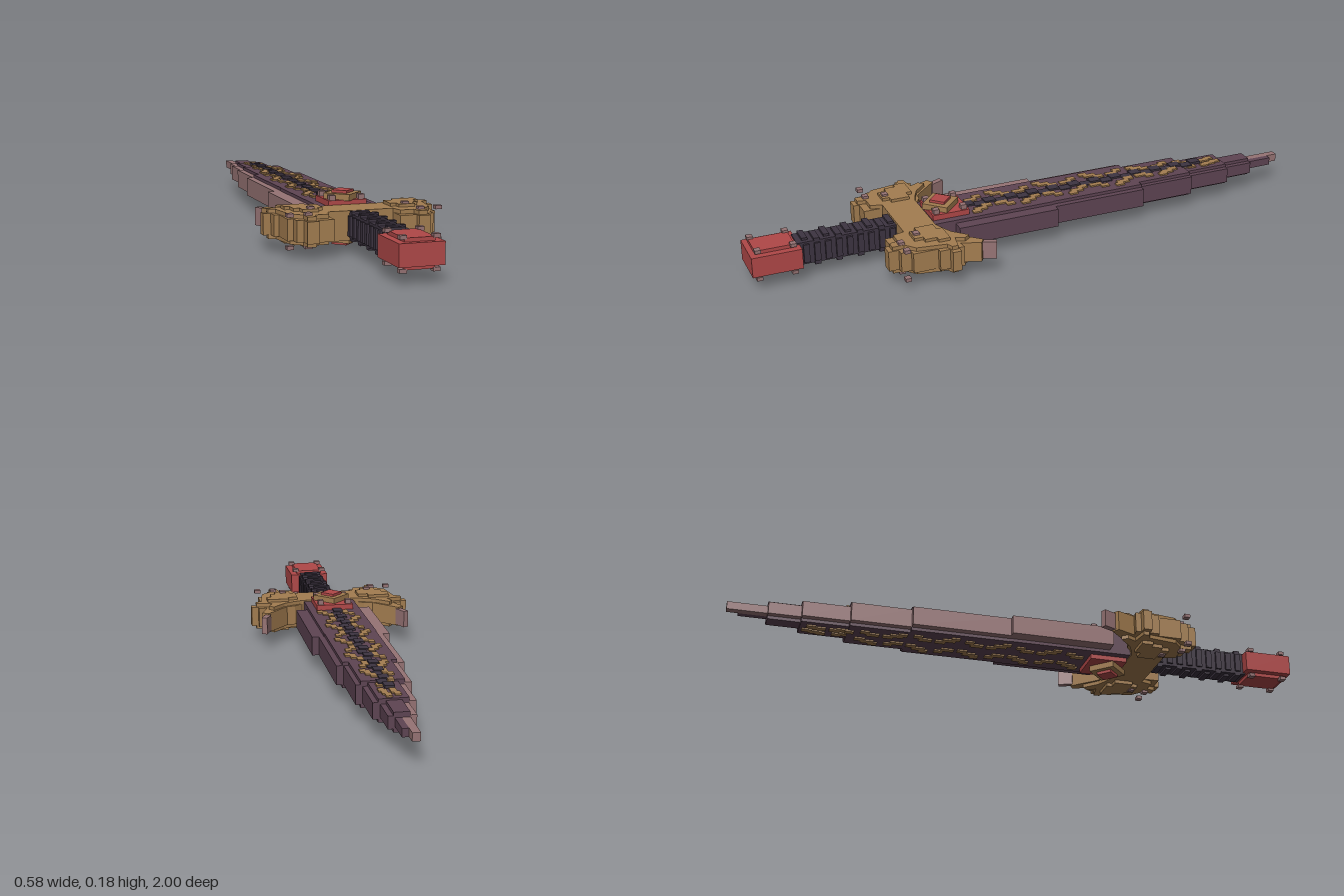
import * as THREE from 'three';

const mat = (name, color) => {
  const m = new THREE.MeshStandardMaterial({ color });
  m.name = name;
  return m;
};

export function createModel() {
  const gold = mat('gold', 0xa37d50), red = mat('red', 0xb04848), purple = mat('purple', 0x5e4453);
  const dark = mat('dark leather', 0x3d3441), mauve = mat('mauve', 0x967374);
  const root = new THREE.Group();
  root.name = 'sword';
  const part = (name) => {
    const g = new THREE.Group();
    g.name = name;
    root.add(g);
    return g;
  };
  // box from min/max limits on each axis
  const box = (parent, name, m, x0, x1, y0, y1, z0, z1) => {
    const mesh = new THREE.Mesh(new THREE.BoxGeometry(x1 - x0, y1 - y0, z1 - z0), m);
    mesh.position.set((x0 + x1) / 2, (y0 + y1) / 2, (z0 + z1) / 2);
    mesh.name = name;
    parent.add(mesh);
    return mesh;
  };
  // slab with an outline of [x, z] points
  const slab = (parent, name, m, pts, y0, y1) => {
    const shape = new THREE.Shape(pts.map(([x, z]) => new THREE.Vector2(x, -z)));
    const geo = new THREE.ExtrudeGeometry(shape, { depth: y1 - y0, bevelEnabled: false });
    geo.rotateX(-Math.PI / 2).translate(0, y0, 0);
    const mesh = new THREE.Mesh(geo, m);
    mesh.name = name;
    parent.add(mesh);
  };
  const studs = (parent, x, z, top, bottom) => {
    for (const s of [-1, 1]) {
      box(parent, 'stud', mauve, s * x - 0.011, s * x + 0.011, top - 0.012, top, z - 0.01, z + 0.01);
      box(parent, 'stud', mauve, s * x - 0.011, s * x + 0.011, bottom, bottom + 0.012, z - 0.01, z + 0.01);
    }
  };

  // Blade: stepped core with a pale edge on one side and a dark edge on the other
  const blade = part('blade');
  const steps = [ // zFront, zBack, core half width, left limit, right limit
    [0.31, -0.05, 0.092, -0.138, 0.133],
    [-0.05, -0.39, 0.09, -0.115, 0.11],
    [-0.39, -0.595, 0.07, -0.092, 0.086],
    [-0.595, -0.755, 0.048, -0.07, 0.065],
    [-0.755, -0.865, 0.025, -0.046, 0.042],
  ];
  steps.forEach(([z1, z0, w, l, r], i) => {
    const inset = i < 3 ? 0 : 0.006 * (i - 2);
    box(blade, 'bladeCore', purple, -w, w, 0.046 + inset, 0.133 - inset, z0, i ? z1 : 0.4);
    box(blade, 'paleEdge', mauve, l, -w + 0.002, 0.057 + inset, 0.122 - inset, z0, z1);
    box(blade, 'darkEdge', purple, w - 0.002, r, 0.057 + inset, 0.122 - inset, z0, z1);
  });
  box(blade, 'paleTip', mauve, -0.026, 0, 0.077, 0.104, -1, -0.865);
  box(blade, 'darkTip', purple, 0, 0.021, 0.077, 0.104, -0.96, -0.865);

  // Dark jagged ridge down the middle of the upper face
  const ridge = part('ridge');
  for (let i = 0; i < 23; i++) {
    const z = 0.25 - i * 0.04, s = i % 2 ? 0.006 : -0.006;
    box(ridge, 'ridgeBlock', dark, s - 0.016, s + 0.016, 0.13, i % 2 ? 0.136 : 0.139, z - 0.04, z);
  }

  // Stepped gold inlay on both faces
  const inlay = part('goldInlay');
  for (let i = 0; i < 11; i++) {
    const z = 0.2 - i * 0.09, s = i % 2 ? -1 : 1, k = i < 7 ? 1 : i < 9 ? 0.75 : 0.4;
    const bits = [[0.045, 0, 0.045], [0.028, -0.028, 0.035], [0.06, 0.02, 0.03], [-0.03, 0.01, 0.045], [-0.048, -0.018, 0.03]];
    for (const [bx, bz, d] of bits) {
      const x = s * bx * k, zc = z + bz;
      const inset = zc < -0.755 ? 0.012 : zc < -0.595 ? 0.006 : 0;
      box(inlay, 'inlayTop', gold, x - 0.01, x + 0.01, 0.13 - inset, 0.138 - inset, zc - d / 2, zc + d / 2);
      box(inlay, 'inlayBottom', gold, x - 0.01, x + 0.01, 0.041 + inset, 0.049 + inset, zc - d / 2, zc + d / 2);
    }
  }

  // Guard: three stacked outlines per wing
  const guard = part('guard');
  const outline = [[0, 0.385], [0.1, 0.385], [0.13, 0.36], [0.16, 0.355], [0.24, 0.27], [0.262, 0.285], [0.235, 0.35],
    [0.265, 0.345], [0.265, 0.365], [0.29, 0.365], [0.29, 0.395], [0.265, 0.395], [0.265, 0.43], [0.248, 0.43],
    [0.248, 0.515], [0.228, 0.515], [0.228, 0.55], [0.205, 0.55], [0.205, 0.585], [0.165, 0.585], [0.165, 0.565],
    [0.11, 0.565], [0.11, 0.5], [0, 0.5]];
  const middle = [[0, 0.385], [0.1, 0.385], [0.14, 0.37], [0.17, 0.355], [0.215, 0.31], [0.23, 0.33], [0.215, 0.36],
    [0.272, 0.37], [0.272, 0.39], [0.25, 0.4], [0.235, 0.5], [0.2, 0.53], [0.2, 0.57], [0.17, 0.57], [0.165, 0.54],
    [0.12, 0.54], [0.11, 0.5], [0, 0.5]];
  const inner = [[0.115, 0.4], [0.15, 0.4], [0.15, 0.38], [0.228, 0.38], [0.228, 0.42], [0.21, 0.42], [0.21, 0.46],
    [0.19, 0.46], [0.19, 0.49], [0.135, 0.49], [0.135, 0.465], [0.115, 0.465]];
  for (const s of [-1, 1]) {
    const side = (pts) => pts.map(([x, z]) => [s * x, z]);
    slab(guard, 'guardWing', gold, side(outline), 0.055, 0.125);
    slab(guard, 'guardPlate', gold, side(middle), 0.042, 0.138);
    slab(guard, 'guardRaised', gold, side(inner), 0.03, 0.148);
    const tip = box(guard, 'hornTip', mauve, -0.01, 0.01, 0.06, 0.12, -0.026, 0.026);
    tip.position.set(s * 0.25, 0.09, 0.255);
    tip.rotation.y = s * -0.42;
  }
  studs(guard, 0.248, 0.537, 0.147, 0.033);
  studs(guard, 0.188, 0.537, 0.147, 0.033);
  studs(guard, 0.16, 0.475, 0.155, 0.025);

  // Jewel mount on both faces
  const mount = part('jewelMount');
  box(mount, 'mountPlate', red, -0.066, 0.066, 0.03, 0.152, 0.25, 0.38);
  const diamond = (name, m, r, y0, y1) => slab(mount, name, m, [[-r, 0.33], [0, 0.33 + r], [r, 0.33], [0, 0.33 - r]], y0, y1);
  diamond('jewelFrame', gold, 0.065, 0.01, 0.03);
  diamond('jewelFrame', gold, 0.065, 0.15, 0.171);
  diamond('jewel', red, 0.038, 0, 0.012);
  diamond('jewel', red, 0.038, 0.168, 0.18);
  for (const x of [-0.05, 0.05]) for (const z of [0.267, 0.365]) {
    box(mount, 'stud', mauve, x - 0.01, x + 0.01, 0.15, 0.168, z - 0.01, z + 0.01);
  }

  // Grip: core with raised, staggered wrap
  const grip = part('grip');
  box(grip, 'gripCore', dark, -0.037, 0.037, 0.05, 0.13, 0.49, 0.84);
  for (let i = 0; i < 9; i++) {
    const z = 0.505 + i * 0.037;
    box(grip, 'gripWrap', dark, -0.045, 0.045, 0.058, 0.123, z, z + 0.02);
    const s = i % 2 ? 1 : -1;
    box(grip, 'gripBand', dark, -0.03 + s * 0.008, 0.03 + s * 0.008, 0.042, 0.138, z, z + 0.02);
  }

  // Pommel
  const pommel = part('pommel');
  box(pommel, 'pommelBody', red, -0.072, 0.072, 0.055, 0.125, 0.832, 1);
  box(pommel, 'pommelPlate', red, -0.048, 0.048, 0.043, 0.137, 0.85, 0.982);
  studs(pommel, 0.052, 0.857, 0.145, 0.035);
  studs(pommel, 0.052, 0.975, 0.145, 0.035);
  return root;
}
